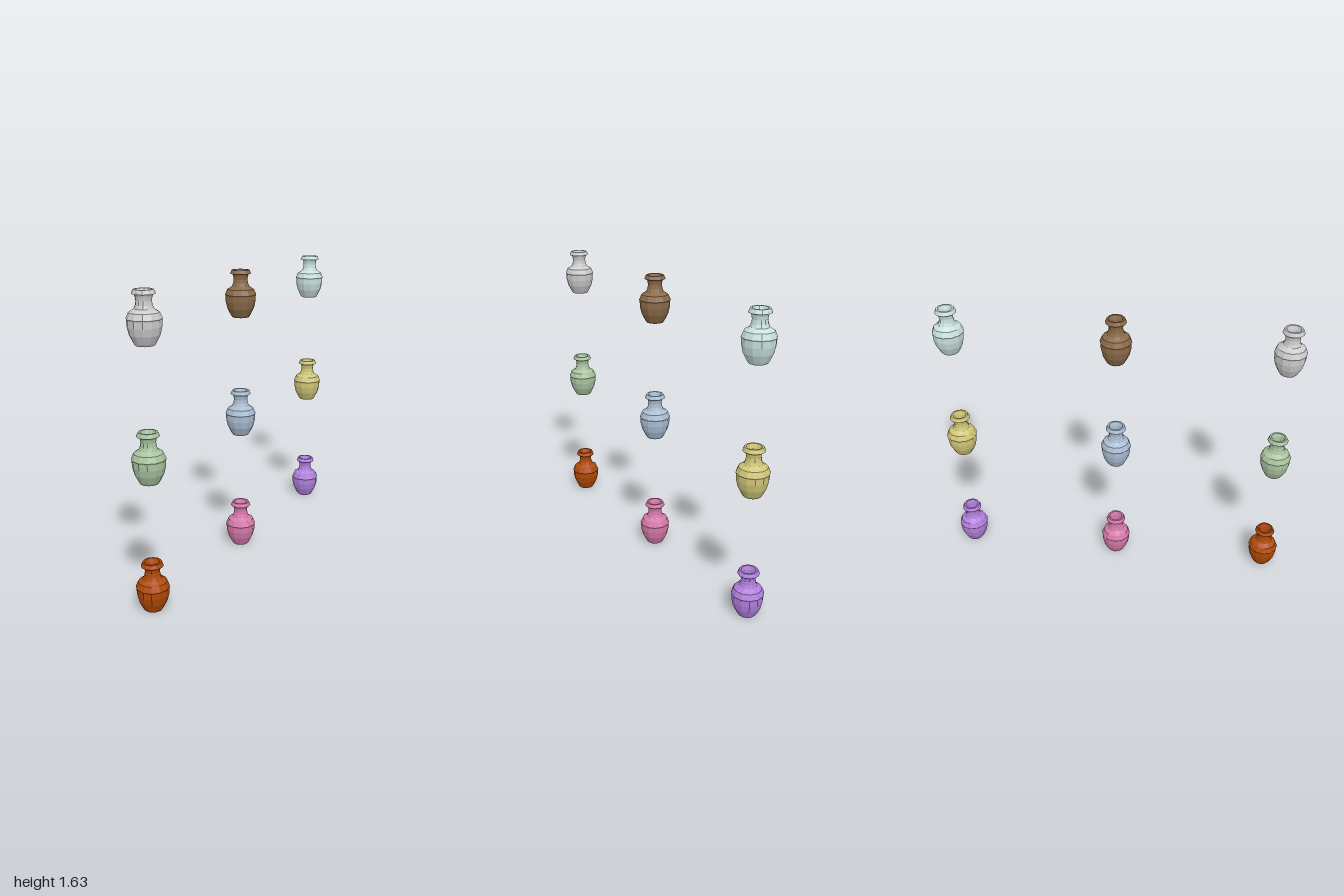
import * as THREE from 'three';

// Half section of a vase as [radius, height]: base, body, shoulder, neck, lip, then the hollow inside
const PROFILE = [
  [0, 0], [0.047, 0], [0.055, 0.012], [0.074, 0.05], [0.083, 0.088], [0.084, 0.12],
  [0.087, 0.126], [0.08, 0.142], [0.074, 0.156], [0.06, 0.164], [0.048, 0.173],
  [0.041, 0.19], [0.038, 0.21], [0.041, 0.228], [0.046, 0.24],
  [0.058, 0.241], [0.055, 0.249], [0.049, 0.262], [0.039, 0.262],
  [0.031, 0.24], [0.028, 0.205], [0.034, 0.175], [0.06, 0.145], [0.07, 0.11],
  [0.06, 0.05], [0.04, 0.015], [0, 0.012],
];

// Rows from bottom to top; in each row the colours run from front to back
const ROWS = [
  ['orange', 0xb04a08, 'pink', 0xd478a8, 'purple', 0xb07fdc],
  ['green', 0xa9c4a0, 'blue', 0xaabdd2, 'yellow', 0xcfc678],
  ['grey', 0xcccccc, 'brown', 0x8b6a48, 'paleTeal', 0xc8e0de],
];
const ROW_PITCH = 0.685;
const COLUMN_PITCH = 0.914;

export function createModel() {
  const group = new THREE.Group();
  group.name = 'vaseCollection';

  const points = PROFILE.map(([r, y]) => new THREE.Vector2(r, y));
  const vaseGeometry = new THREE.LatheGeometry(points, 12);

  ROWS.forEach((row, level) => {
    for (let i = 0; i < 3; i++) {
      const material = new THREE.MeshStandardMaterial({
        color: row[i * 2 + 1], flatShading: true, side: THREE.DoubleSide,
      });
      const vase = new THREE.Mesh(vaseGeometry, material);
      vase.name = `${row[i * 2]}Vase`;
      vase.position.set(0, level * ROW_PITCH, (1 - i) * COLUMN_PITCH);
      group.add(vase);
    }
  });
  return group;
}
